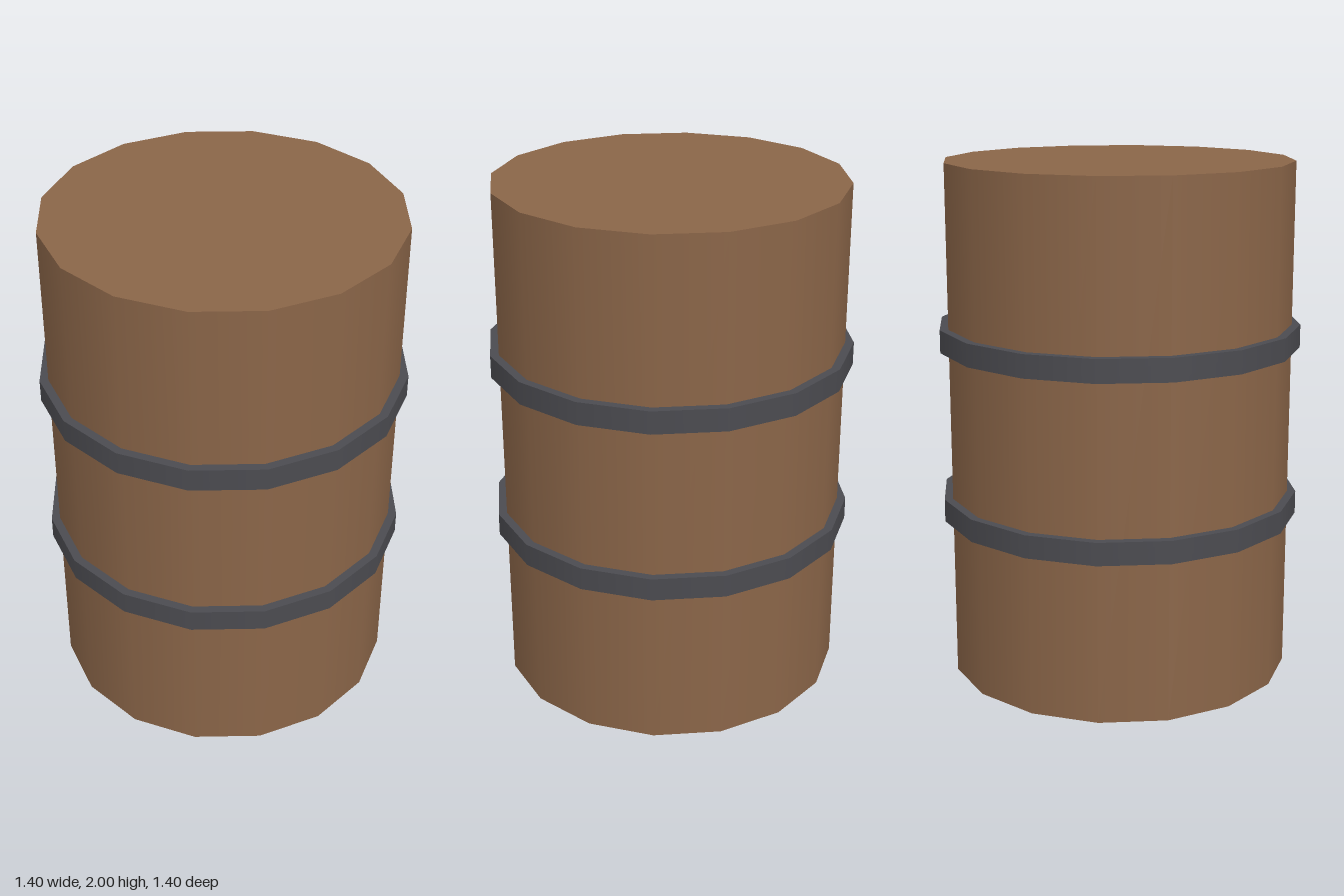
import * as THREE from 'three';

const SIDES = 16;

export function createModel() {
  const wood = new THREE.MeshStandardMaterial({ color: 0x8a6548 });
  wood.name = 'brown wood';
  const iron = new THREE.MeshStandardMaterial({ color: 0x4b4b50 });
  iron.name = 'dark iron';

  const barrel = new THREE.Group();
  barrel.name = 'barrel';

  const addDrum = (name, radius, height, y, material) => {
    const mesh = new THREE.Mesh(new THREE.CylinderGeometry(radius, radius, height, SIDES), material);
    mesh.name = name;
    mesh.position.y = y;
    barrel.add(mesh);
  };

  // Straight-sided body
  addDrum('body', 0.667, 2, 1, wood);

  // Hoops at one third and two thirds of the height
  addDrum('lowerHoop', 0.7, 0.088, 0.668, iron);
  addDrum('upperHoop', 0.7, 0.088, 1.335, iron);

  return barrel;
}
